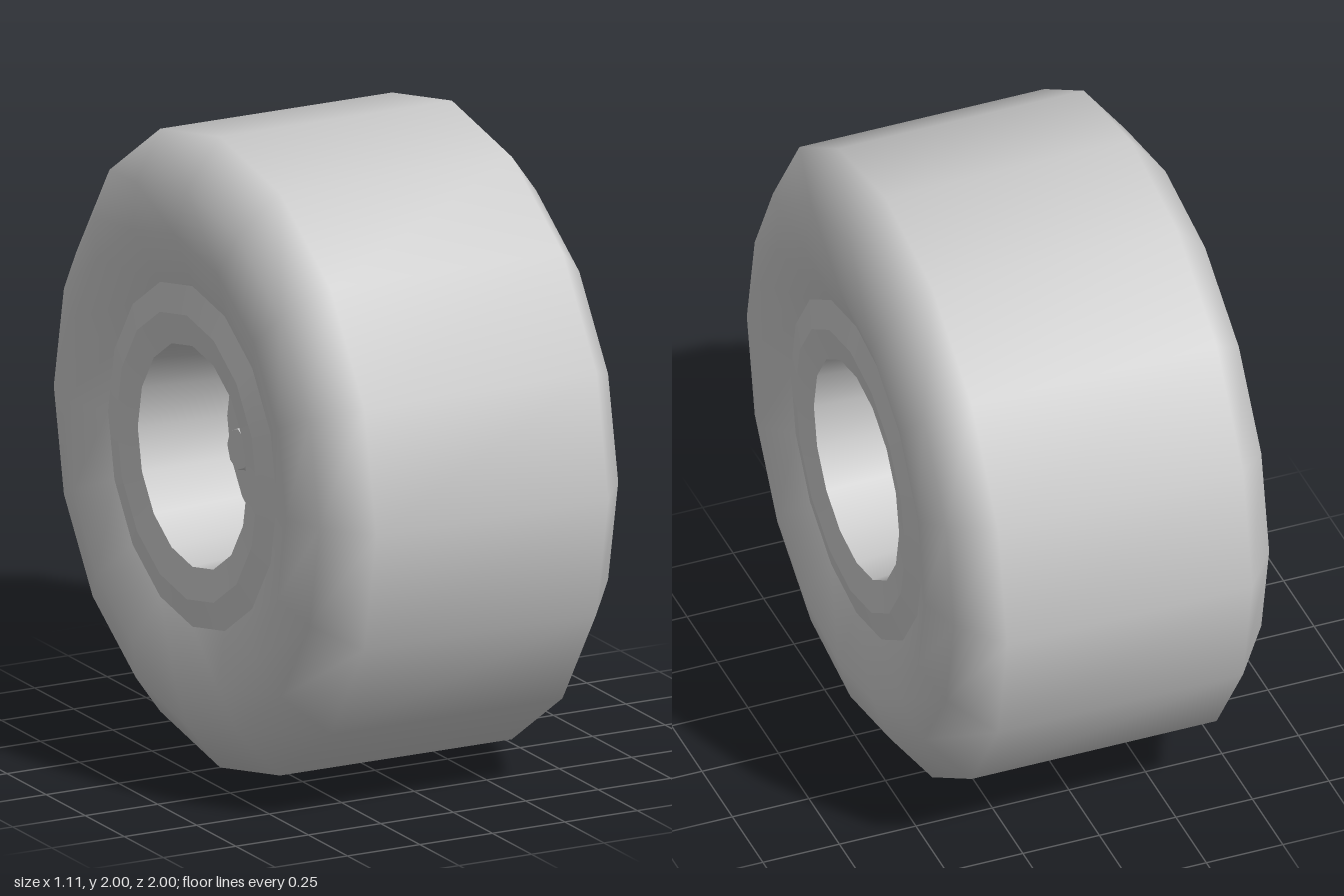
import * as THREE from 'three';

const material = new THREE.MeshStandardMaterial({ color: 0xcccccc });

// Surface turned about the x axis from [x, radius] pairs; smooth inside one section
function turned(name, profile, sides = 16) {
  const points = profile.map(([x, r]) => new THREE.Vector2(r, x));
  const geometry = new THREE.LatheGeometry(points, sides);
  geometry.rotateZ(-Math.PI / 2);
  const mesh = new THREE.Mesh(geometry, material);
  mesh.name = name;
  return mesh;
}

// Rim, dish and axle end of one side, facing +x
function wheelFace(name) {
  const face = new THREE.Group();
  face.name = name;
  face.add(
    turned('rimOuterBevel', [[0.495, 0.54], [0.515, 0.45]]),
    turned('rimInnerBevel', [[0.515, 0.45], [0.495, 0.35]]),
    turned('rimBarrel', [[0.495, 0.35], [0.2, 0.325]]),
    turned('hubDisc', [[0.2, 0.325], [0.2, 0]]),
    turned('flangeSide', [[0.2, 0.122], [0.25, 0.115]], 8),
    turned('flangeFace', [[0.25, 0.115], [0.25, 0]], 8),
    turned('axleSide', [[0.25, 0.082], [0.34, 0.065]], 8),
    turned('axleEnd', [[0.34, 0.065], [0.34, 0]], 8)
  );
  return face;
}

export function createModel() {
  const model = new THREE.Group();
  model.name = 'wheel';

  // Tyre: flat tread, rounded shoulders and sidewalls dipping in to the rim
  const half = [[0.4, 1], [0.515, 0.85], [0.555, 0.71], [0.495, 0.54]];
  const mirrored = half.map(([x, r]) => [-x, r]).reverse();
  model.add(turned('tyre', [...mirrored, ...half]));

  // The same face on both sides
  const left = wheelFace('leftFace');
  const right = wheelFace('rightFace');
  right.rotation.y = Math.PI;
  model.add(left, right);

  model.position.y = 1;
  const root = new THREE.Group();
  root.add(model);
  return root;
}
